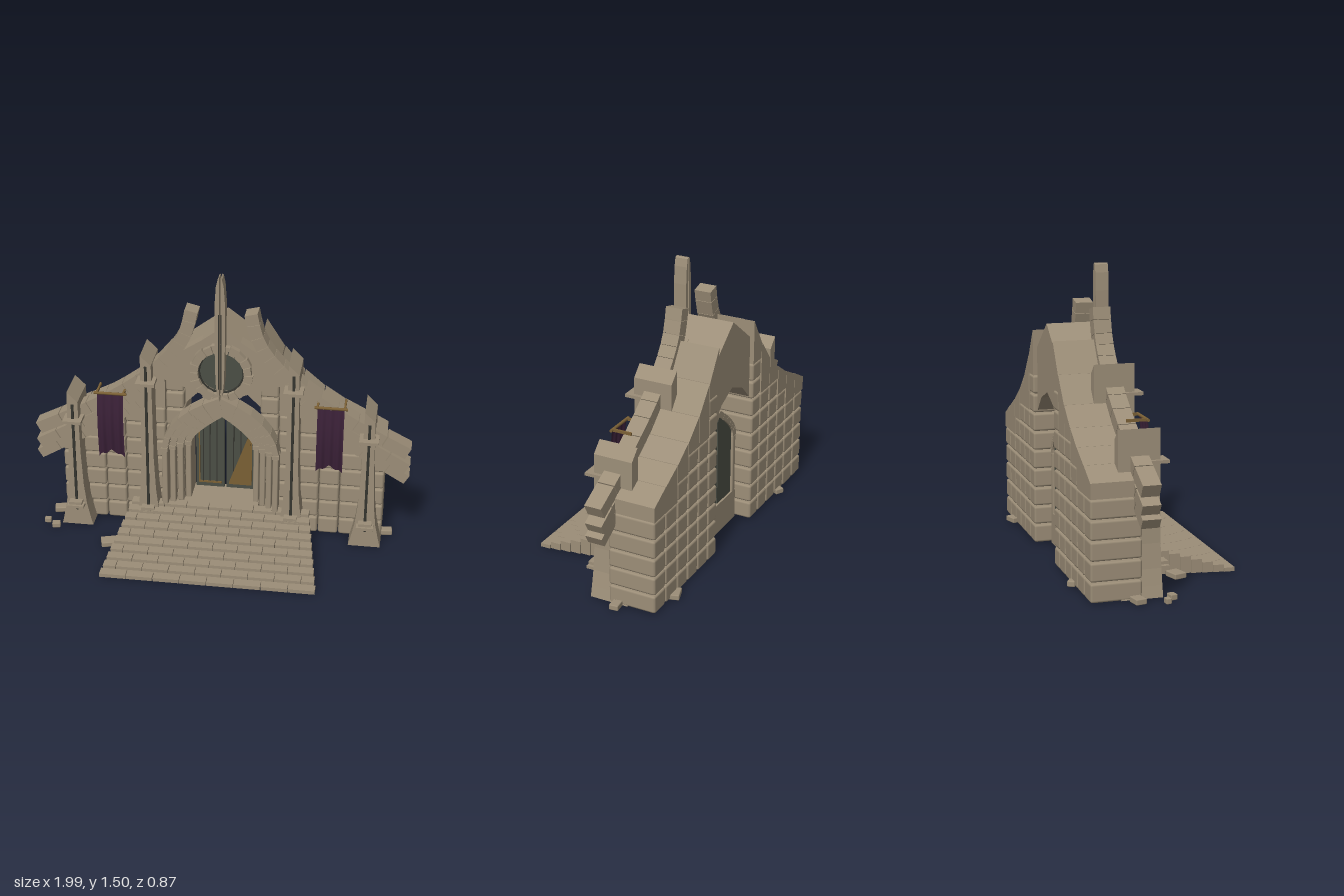
import * as THREE from 'three';
import { RoundedBoxGeometry } from 'three/addons/geometries/RoundedBoxGeometry.js';

const mat = (name, color, side = THREE.FrontSide) => {
  const m = new THREE.MeshStandardMaterial({ color, side });
  m.name = name;
  return m;
};

export function createModel() {
  const root = new THREE.Group();
  root.name = 'gatehouse';
  const stone = mat('stone', 0x9c8e78);
  const door = mat('weathered door', 0x4b4e45);
  const dark = mat('dark iron', 0x35352f);
  const gold = mat('old gold', 0x7b6035);
  const cloth = mat('purple cloth', 0x3b2138, THREE.DoubleSide);

  const add = (name, geo, m, x = 0, y = 0, z = 0) => {
    const mesh = new THREE.Mesh(geo, m);
    mesh.name = name;
    mesh.position.set(x, y, z);
    root.add(mesh);
    return mesh;
  };
  // box given by its extents; r > 0 rounds the edges
  const box = (name, m, x0, x1, y0, y1, z0, z1, r = 0) => {
    const [w, h, d] = [Math.abs(x1 - x0), y1 - y0, z1 - z0];
    const geo = r ? new RoundedBoxGeometry(w, h, d, 1, r) : new THREE.BoxGeometry(w, h, d);
    return add(name, geo, m, (x0 + x1) / 2, (y0 + y1) / 2, (z0 + z1) / 2);
  };
  // outline in x, y pushed from z0 to z1
  const plate = (name, m, pts, z0, z1, hole) => {
    const shape = new THREE.Shape(pts.map(p => new THREE.Vector2(p[0], p[1])));
    if (hole) shape.holes.push(hole);
    const geo = new THREE.ExtrudeGeometry(shape, { depth: z1 - z0, bevelEnabled: false, curveSegments: 24 });
    return add(name, geo, m, 0, 0, z0);
  };
  // row of wedge stones following a curve in x, y
  const band = (name, curve, s, width, z0, z1, n, gap = 0.03) => {
    const edge = t => {
      const p = curve.getPoint(t), d = curve.getTangent(t);
      const [nx, ny] = [-d.y * width / 2, d.x * width / 2];
      return [[s * (p.x + nx), p.y + ny], [s * (p.x - nx), p.y - ny]];
    };
    for (let i = 0; i < n; i++) {
      const a = edge((i + (i ? gap : 0)) / n), b = edge((i + 1) / n);
      plate(name, stone, [a[0], a[1], b[1], b[0]], z0, z1);
    }
  };
  const spline = pts => new THREE.SplineCurve(pts.map(p => new THREE.Vector2(p[0], p[1])));

  // stairs of full-height bricks, narrowing upward
  for (let i = 0; i < 10; i++) {
    const z1 = 0.433 - i * 0.0545, half = 0.56 - i * 0.009, h = 0.02 + i * 0.0163;
    const n = 8, w = 2 * half / n, shift = i % 2 ? w / 2 : 0;
    for (let k = 0; k <= n; k++) {
      const x0 = Math.max(-half, -half + k * w - shift);
      const x1 = Math.min(half, -half + (k + 1) * w - shift);
      if (x1 - x0 > 0.02) box('stairBrick', stone, x0 + 0.0015, x1 - 0.0015, 0, h, z1 - 0.0545, z1);
    }
  }
  box('threshold', stone, -0.2, 0.2, 0, 0.166, -0.31, -0.11);

  // door panels with a slit between them
  for (const s of [-1, 1]) {
    const leaf = [[0.005, 0.166], [0.16, 0.166], [0.16, 0.52], [0.135, 0.585], [0.09, 0.645], [0.005, 0.7]];
    plate('doorLeaf', door, leaf.map(p => [s * p[0], p[1]]), -0.3, -0.28);
    for (const x of [0.045, 0.085, 0.12])
      box('doorSeam', dark, s * (x - 0.0025), s * (x + 0.0025), 0.2, 0.66 - x * 0.7, -0.28, -0.276);
    box('doorTrim', gold, s * 0.02, s * 0.145, 0.19, 0.2, -0.28, -0.274);
    box('doorTrim', gold, s * 0.138, s * 0.145, 0.2, 0.53, -0.28, -0.274);
  }
  plate('doorPanel', gold, [[0.02, 0.2], [0.138, 0.2], [0.138, 0.53]], -0.28, -0.273);

  // nested portal arches, stepping back toward the door
  const layers = [
    [0.295, 0.825, -0.15, -0.06], [0.257, 0.785, -0.17, -0.09],
    [0.22, 0.745, -0.2, -0.12], [0.182, 0.705, -0.31, -0.15],
  ];
  for (const s of [-1, 1]) for (const [x, apex, z0, z1] of layers) {
    box('portalColumn', stone, s * (x - 0.015), s * (x + 0.015), 0.16, 0.49, z0, z1, 0.006);
    box('portalCapital', stone, s * (x - 0.018), s * (x + 0.018), 0.49, 0.51, z0, z1 + 0.006);
    const curve = new THREE.QuadraticBezierCurve(
      new THREE.Vector2(x, 0.51), new THREE.Vector2(x * 0.93, apex - 0.13), new THREE.Vector2(0, apex - 0.016));
    band('portalArch', curve, s, 0.032, z0, z1, 6);
  }

  // front gable with a round opening
  const eye = new THREE.Path().absarc(0, 0.95, 0.125, 0, Math.PI * 2, true);
  plate('frontGable', stone, [[0, 1.2], [-0.1, 1.125], [-0.2, 1.06], [-0.34, 0.95], [-0.34, 0.9], [-0.17, 0.84],
    [-0.07, 0.8], [0.07, 0.8], [0.17, 0.84], [0.34, 0.9], [0.34, 0.95], [0.2, 1.06], [0.1, 1.125]], -0.19, -0.12, eye);
  // rose window
  const glass = add('roseGlass', new THREE.CylinderGeometry(0.128, 0.128, 0.03, 32), door, 0, 0.95, -0.155);
  glass.rotation.x = Math.PI / 2;
  for (let i = 0; i < 20; i++) {
    const a0 = i * Math.PI / 10 + 0.015, a1 = (i + 1) * Math.PI / 10 - 0.015, ro = i % 2 ? 0.167 : 0.16;
    const at = (r, a) => [r * Math.cos(a), 0.95 + r * Math.sin(a)];
    plate('roseStone', stone, [at(0.12, a0), at(ro, a0), at(ro, a1), at(0.12, a1)], -0.15, -0.09);
  }
  const rim = add('roseRim', new THREE.TorusGeometry(0.118, 0.007, 6, 32), dark, 0, 0.95, -0.12);
  rim.scale.z = 0.8;

  // rear gable with an arched underside
  plate('rearGable', stone, [[0, 1.2], [-0.2, 1.05], [-0.2, 0.72], [-0.12, 0.8], [0, 0.85],
    [0.12, 0.8], [0.2, 0.72], [0.2, 1.05]], -0.378, -0.19);

  // split spire
  for (const s of [-1, 1]) {
    const blade = [[0.004, 0.82], [0.014, 0.84], [0.022, 0.92], [0.026, 1.1], [0.026, 1.36], [0.02, 1.45], [0.011, 1.49], [0.004, 1.497]];
    plate('spireBlade', stone, blade.map(p => [s * p[0], p[1]]), -0.128, -0.06);
    box('spireInlay', dark, s * 0.004, s * 0.009, 0.88, 1.3, -0.06, -0.056);
  }

  // side walls: stone courses under a stepped, sloping top
  const cols = [0.2, 0.3, 0.41, 0.52, 0.63, 0.75, 0.865];
  const tops = [1.14, 0.99, 0.86, 0.77, 0.7, 0.64, 0.58];
  for (const s of [-1, 1]) for (let c = 0; c < 6; c++) {
    const x0 = cols[c] + 0.002, x1 = cols[c + 1] - 0.002;
    const rows = Math.floor((tops[c + 1] - 0.07) * 10);
    for (let r = 0; r < rows; r++)
      box('wallBlock', stone, s * x0, s * x1, r * 0.1 + 0.005, r * 0.1 + 0.099, -0.4, -0.147, 0.012);
    plate('wallCoping', stone, [[s * x0, rows * 0.1 + 0.003], [s * x1, rows * 0.1 + 0.003],
      [s * x1, tops[c + 1]], [s * x0, tops[c]]], -0.4, -0.147);
  }

  // sweeping ribs on both flanks
  const ribs = [
    [[[0.153, 1.29], [0.185, 1.16], [0.25, 1.05], [0.36, 0.935], [0.5, 0.825], [0.7, 0.7], [0.98, 0.555]], 0.068, 12],
    [[[0.38, 0.86], [0.52, 0.74], [0.7, 0.625], [0.98, 0.465]], 0.058, 7],
    [[[0.4, 0.77], [0.52, 0.68], [0.7, 0.565], [0.98, 0.4]], 0.055, 7],
  ];
  for (const s of [-1, 1]) for (const [pts, w, n] of ribs) band('flankRib', spline(pts), s, w, -0.19, -0.1, n);

  // flared piers with slanted tops, collars and an iron slit
  for (const s of [-1, 1]) for (const [x, top, collar] of [[0.383, 1.05, 0.9], [0.778, 0.81, 0.65]]) {
    const cx = s * x;
    plate('pier', stone, [[-0.085, 0.005], [0.085, 0.005], [0.072, 0.06], [0.055, 0.14], [0.042, 0.26], [0.033, 0.45],
      [0.028, top - 0.055], [-0.028, top], [-0.033, 0.45], [-0.042, 0.26], [-0.055, 0.14], [-0.072, 0.06]]
      .map(p => [cx + p[0], p[1]]), -0.25, -0.045);
    box('pierCollar', stone, cx - 0.05, cx + 0.05, collar - 0.008, collar + 0.008, -0.1, -0.005);
    box('pierFoot', stone, cx - 0.045, cx + 0.045, 0.13, 0.145, -0.1, 0);
    box('pierFoot', stone, cx - 0.035, cx + 0.035, 0.15, 0.165, -0.1, -0.005);
    box('pierSlit', dark, cx - 0.007, cx + 0.007, 0.1, collar + 0.09, -0.045, -0.039);
  }

  // banners: folded cloth with a notched hem on a bracketed rod
  for (const s of [-1, 1]) {
    const geo = new THREE.PlaneGeometry(0.138, 1, 24, 10);
    const p = geo.attributes.position;
    for (let i = 0; i < p.count; i++) {
      const u = p.getX(i) / 0.069, v = 0.5 - p.getY(i);
      const hem = 0.445 + 0.035 * (1 - Math.abs(u)) + 0.008 * Math.cos(u * 9);
      p.setY(i, 0.81 + (hem - 0.81) * v);
      p.setZ(i, -0.05 + 0.014 * Math.sin(v * Math.PI) + 0.007 * Math.cos(u * 10) * (0.4 + v * 0.6));
    }
    geo.computeVertexNormals();
    add('banner', geo, cloth, s * 0.576, 0, 0);
    const rod = add('bannerRod', new THREE.CylinderGeometry(0.008, 0.008, 0.172, 8), gold, s * 0.576, 0.815, -0.055);
    rod.rotation.z = Math.PI / 2;
    for (const dx of [-0.07, 0.07])
      box('bannerBracket', gold, s * 0.576 + dx - 0.005, s * 0.576 + dx + 0.005, 0.809, 0.823, -0.16, -0.055);
  }

  // fallen stones: x, z, size, turn
  for (const [x, z, w, turn] of [[-0.945, -0.05, 0.035, 0.1], [-0.89, -0.01, 0.045, 0.2], [-0.57, 0.12, 0.085, 0.3],
    [-0.555, -0.405, 0.05, -0.5], [0.665, -0.4, 0.08, 0.3], [0.89, -0.2, 0.06, 0.1], [-0.9, -0.18, 0.07, 0.2]]) {
    const rock = box('fallenStone', stone, x - w / 2, x + w / 2, 0.001, 0.03, z - w * 0.4, z + w * 0.4, 0.005);
    rock.rotation.y = turn;
  }
  return root;
}
